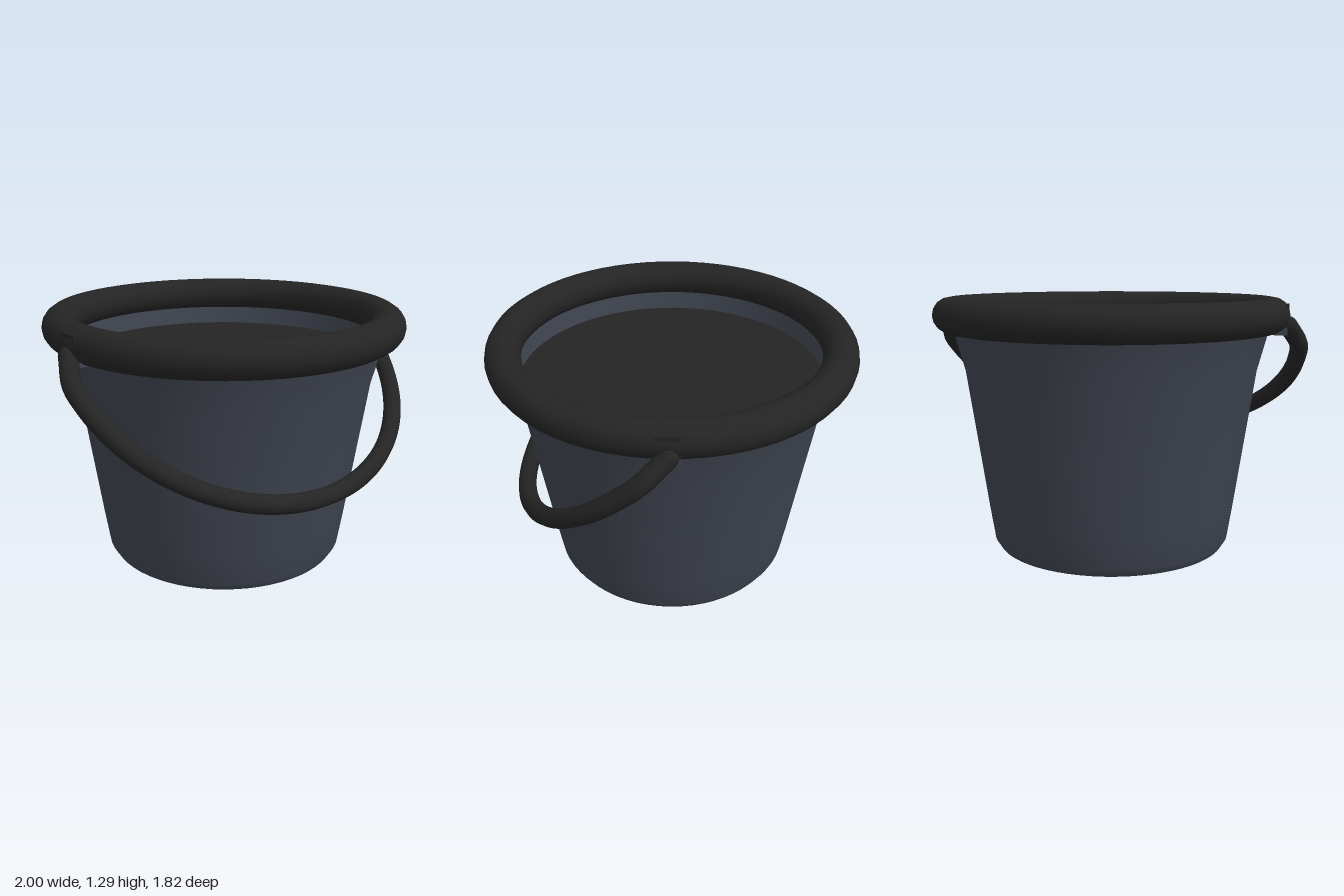
import * as THREE from 'three';

const SEGMENTS = 64;

export function createModel() {
  const group = new THREE.Group();
  group.name = 'bucket';

  const slate = new THREE.MeshStandardMaterial({ color: 0x3e434e });
  slate.name = 'slate plastic';
  const black = new THREE.MeshStandardMaterial({ color: 0x242424 });
  black.name = 'black rubber';

  const add = (name, geometry, material) => {
    const mesh = new THREE.Mesh(geometry, material);
    mesh.name = name;
    group.add(mesh);
    return mesh;
  };
  const lathe = (points) =>
    new THREE.LatheGeometry(points.map(([r, y]) => new THREE.Vector2(r, y)), SEGMENTS);

  // Tapered outer wall, flaring towards the rim
  add('outerWall', lathe([
    [0.6, 0], [0.625, 0.04], [0.65, 0.2], [0.7, 0.55], [0.755, 0.93], [0.805, 1.12], [0.825, 1.2],
  ]), slate);

  // Inside of the wall, from the rim down to the contents
  add('innerWall', lathe([[0.8, 1.2], [0.785, 1.12], [0.765, 1.03]]), slate);

  // Flat underside
  add('base', new THREE.CircleGeometry(0.6, SEGMENTS), slate).rotation.x = Math.PI / 2;

  // Dark surface just below the rim
  const contents = add('contents', new THREE.CircleGeometry(0.77, SEGMENTS), black);
  contents.rotation.x = -Math.PI / 2;
  contents.position.y = 1.04;

  // Fat rounded rim
  const rim = add('rim', new THREE.TorusGeometry(0.824, 0.087, 16, SEGMENTS), black);
  rim.rotation.x = Math.PI / 2;
  rim.position.y = 1.208;

  // Handle: a half ellipse hanging forward in a tilted plane, ends curling in to the pivots
  const onPlane = (x, y) => new THREE.Vector3(x, y, (1.16 - y) * 1.15);
  const points = [onPlane(0.9, 1.162)];
  const steps = 24;
  for (let i = 0; i <= steps; i++) {
    const a = (i / steps) * Math.PI;
    points.push(onPlane(0.953 * Math.cos(a), 1.06 - 0.565 * Math.sin(a)));
  }
  points.push(onPlane(-0.9, 1.162));
  const path = new THREE.CatmullRomCurve3(points);
  add('handle', new THREE.TubeGeometry(path, 96, 0.046, 12), black);

  // Pivots and mounting clips on both sides
  for (const side of [-1, 1]) {
    const label = side > 0 ? 'left' : 'right';
    const end = add(label + 'HandleEnd', new THREE.SphereGeometry(0.046, 12, 8), black);
    end.position.copy(onPlane(side * 0.9, 1.162));

    const clip = add(label + 'Clip', new THREE.BoxGeometry(0.08, 0.11, 0.11), black);
    clip.position.set(side * 0.862, 1.21, 0);

    const bracket = add(label + 'Bracket', new THREE.BoxGeometry(0.08, 0.045, 0.11), slate);
    bracket.position.set(side * 0.86, 1.138, 0);
  }

  return group;
}
